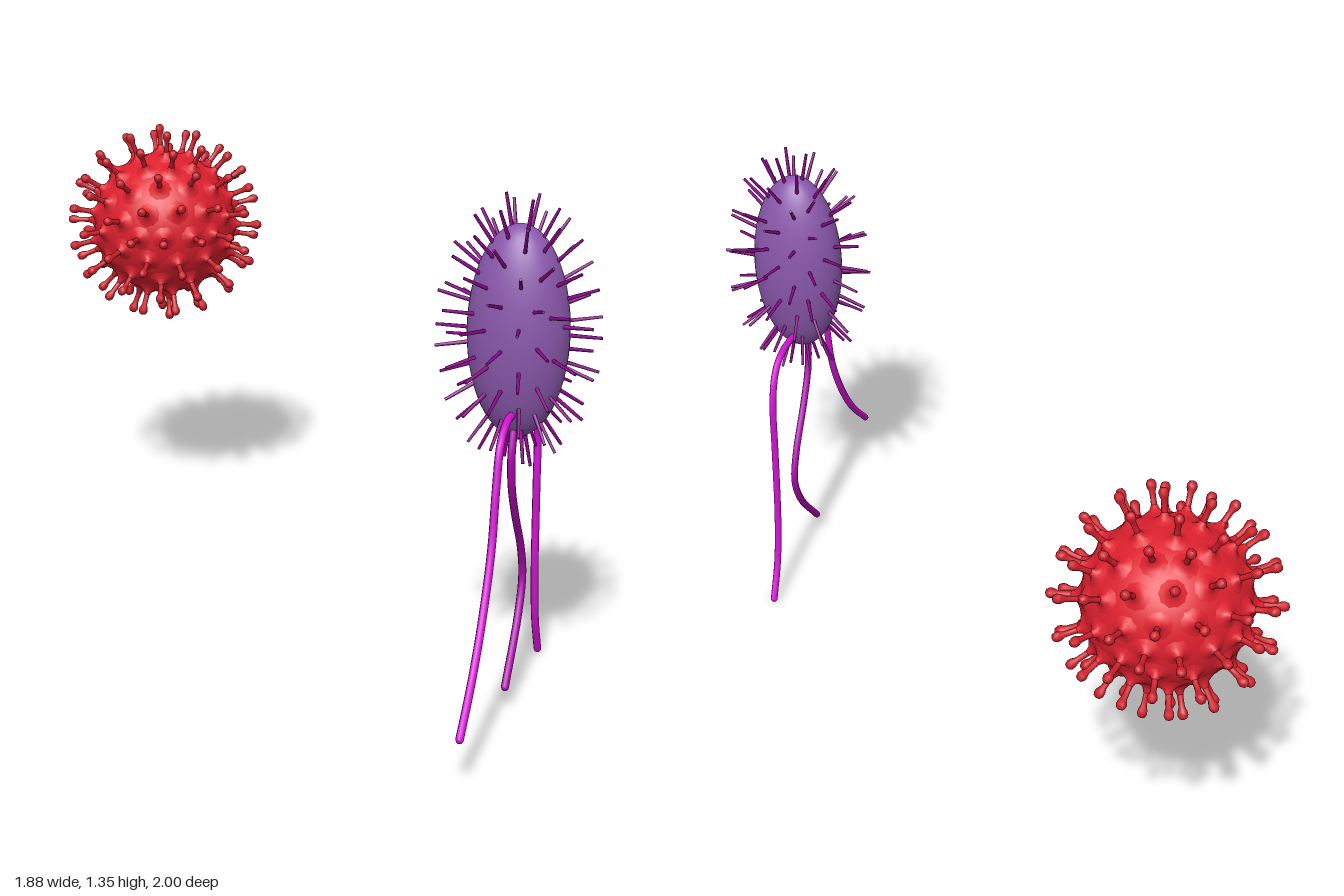
import * as THREE from 'three';

const mat = (name, color, double) => {
  const m = new THREE.MeshStandardMaterial({ color });
  m.name = name;
  if (double) m.side = THREE.DoubleSide;
  return m;
};

const UP = new THREE.Vector3(0, 1, 0);

// 92 evenly spread directions: corners, edge thirds and face centres of an
// icosahedron with a corner on the z axis and another above the x axis
function spreadDirections() {
  const corners = [new THREE.Vector3(0, 0, 1), new THREE.Vector3(0, 0, -1)];
  for (let k = 0; k < 5; k++) {
    for (const side of [1, -1]) {
      const a = (2 * Math.PI * k) / 5 + (side < 0 ? Math.PI / 5 : 0);
      corners.push(new THREE.Vector3(2 * Math.cos(a), 2 * Math.sin(a), side).normalize());
    }
  }
  const near = (p, q) => p.dot(q) > 0.4;
  const dirs = [];
  corners.forEach((p, i) => corners.slice(i).forEach((q, j) => corners.slice(i + j).forEach(r => {
    if (near(p, q) && near(q, r) && near(p, r)) dirs.push(p.clone().add(q).add(r).normalize());
  })));
  return dirs;
}

function add(group, name, geometry, material) {
  const mesh = new THREE.Mesh(geometry, material);
  mesh.name = name;
  group.add(mesh);
  return mesh;
}

function createVirus(red, spikeRed) {
  const virus = new THREE.Group();
  virus.name = 'virus';
  add(virus, 'virusBody', new THREE.SphereGeometry(0.214, 40, 28), red);

  // Flared foot that swells the shell around each spike
  const foot = new THREE.LatheGeometry(
    [[0.045, 0.206], [0.026, 0.215], [0.013, 0.223], [0.007, 0.237]].map(p => new THREE.Vector2(...p)), 10);
  // Thin stem ending in a rounded knob
  const stem = new THREE.LatheGeometry(
    [[0.0085, 0.222], [0.0075, 0.25], [0.008, 0.267], [0.0125, 0.278], [0.0135, 0.287], [0.009, 0.296], [0, 0.299]]
      .map(p => new THREE.Vector2(...p)), 8);

  for (const dir of spreadDirections()) {
    for (const [name, geo, m] of [['spikeFoot', foot, red], ['spike', stem, spikeRed]]) {
      add(virus, name, geo, m).quaternion.setFromUnitVectors(UP, dir);
    }
  }
  virus.position.set(-0.645, 0.9, -0.7);
  return virus;
}

function createBacterium(violet, hairPurple, magenta, darkMagenta) {
  const group = new THREE.Group();
  group.name = 'bacterium';
  const center = new THREE.Vector3(0.73, 1.0, 0.46);
  const radii = new THREE.Vector3(0.13, 0.275, 0.1);

  const body = add(group, 'bacteriumBody', new THREE.SphereGeometry(1, 40, 28).scale(radii.x, radii.y, radii.z), violet);
  body.position.copy(center);

  // Short hairs standing out all over the body
  const hair = new THREE.CylinderGeometry(0.004, 0.0055, 0.1, 6).translate(0, 0.032, 0);
  for (const d of spreadDirections()) {
    const out = new THREE.Vector3(d.z, d.x, d.y); // pole along x
    const mesh = add(group, 'hair', hair, hairPurple);
    mesh.position.copy(out).multiply(radii).add(center);
    mesh.quaternion.setFromUnitVectors(UP, out);
  }

  // Trailing tails, each a path of [z, y] in one upright plane
  const tails = [
    ['frontTail', magenta, [[0.5, 0.8], [0.58, 0.797], [0.64, 0.76], [0.675, 0.66], [0.71, 0.51], [0.785, 0.365], [0.88, 0.24], [0.995, 0.13]]],
    ['middleTail', darkMagenta, [[0.49, 0.77], [0.515, 0.69], [0.505, 0.61], [0.46, 0.52], [0.375, 0.39], [0.35, 0.305], [0.39, 0.21], [0.52, 0.063]]],
    ['backTail', magenta, [[0.42, 0.78], [0.3, 0.78], [0.245, 0.75], [0.213, 0.67], [0.208, 0.5], [0.2, 0.26], [0.178, 0.12], [0.134, 0.012]]],
  ];
  for (const [name, m, path] of tails) {
    const points = path.map(([z, y]) => new THREE.Vector3(0.733, y, z));
    add(group, name, new THREE.TubeGeometry(new THREE.CatmullRomCurve3(points), 28, 0.0105, 8), m);
    // Rounded tip
    add(group, name + 'Tip', new THREE.SphereGeometry(0.0105, 8, 6), m).position.copy(points[points.length - 1]);
  }
  return group;
}

export function createModel() {
  const model = new THREE.Group();
  model.name = 'microbes';
  model.add(
    createVirus(mat('red', 0xde202e, true), mat('spikeRed', 0xcc1e2a, true)),
    createBacterium(mat('violet', 0x8a58ac), mat('hairPurple', 0x8c058c), mat('magenta', 0xd412d4), mat('darkMagenta', 0xac08ac)),
  );
  return model;
}
